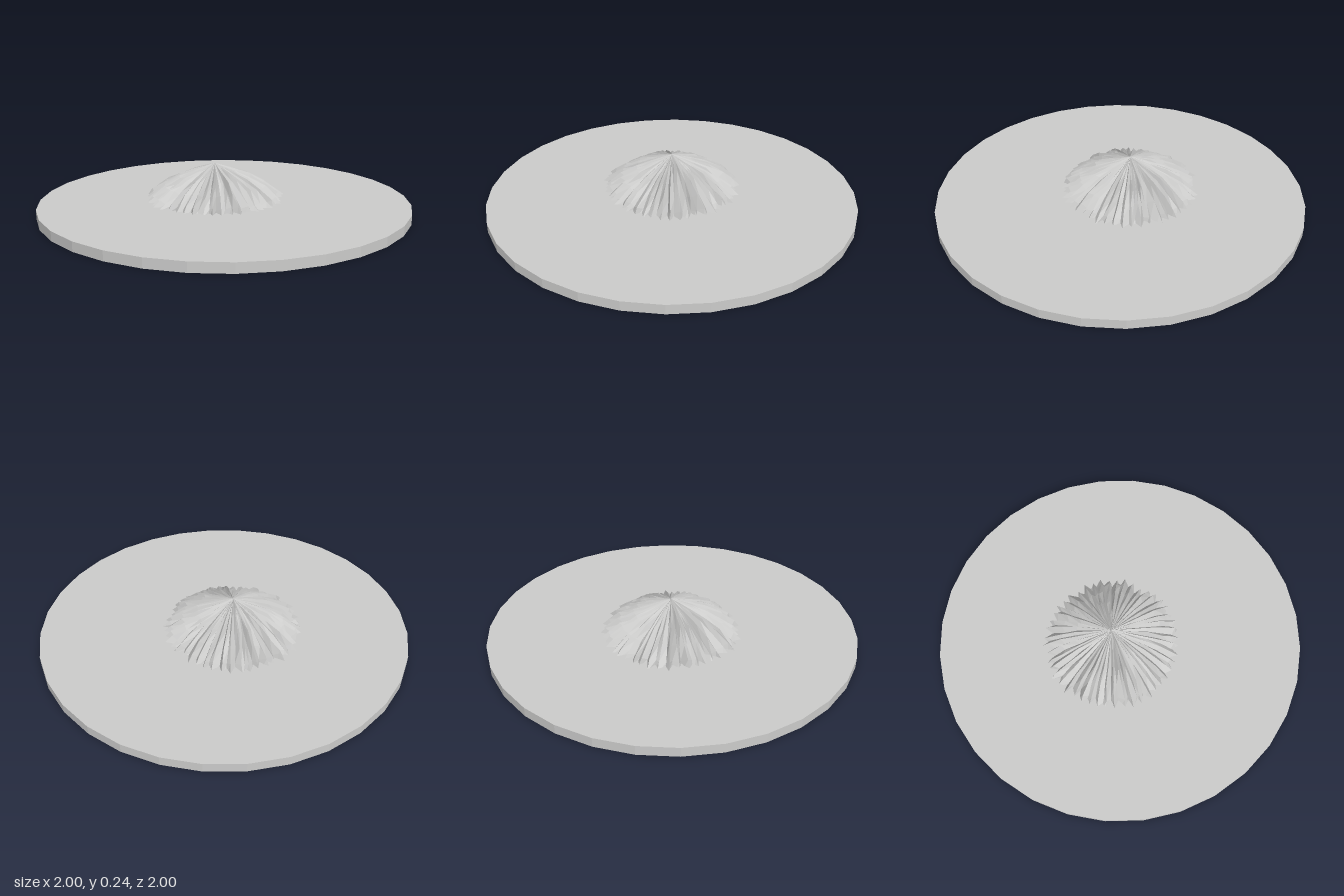
import * as THREE from 'three';

const SPOKES = 96;
// mound profile from the peak outwards: radius, height
const PROFILE = [[0, 0.24], [0.05, 0.221], [0.11, 0.197], [0.19, 0.163], [0.27, 0.118], [0.335, 0.07], [0.38, 0.025]];

function seeded(seed) {
  return () => {
    seed = (seed * 16807) % 2147483647;
    return seed / 2147483647;
  };
}

// rocky cone: rings of jittered points pleated into radial ridges
function moundGeometry() {
  const rand = seeded(4711);
  const jitter = (amount) => (rand() * 2 - 1) * amount;
  const spokes = [];
  for (let j = 0; j < SPOKES; j++) {
    const pleat = (j % 2 ? 1 : -1) * (0.3 + rand() * 0.7);
    const angle = ((j + jitter(0.3)) / SPOKES) * Math.PI * 2;
    spokes.push(PROFILE.map(([radius, height], i) => {
      const grow = Math.min(1, radius / 0.2);
      const r = radius * (1 + pleat * 0.05 + jitter(0.03));
      const a = angle + jitter(0.012) * grow;
      const y = i === 0 ? height : height + (pleat * 0.012 + jitter(0.006)) * grow;
      return [r * Math.cos(a), y, r * Math.sin(a)];
    }));
  }
  const positions = [];
  for (let j = 0; j < SPOKES; j++) {
    const near = spokes[j], next = spokes[(j + 1) % SPOKES];
    for (let i = 0; i < PROFILE.length - 1; i++) {
      positions.push(...near[i], ...next[i + 1], ...near[i + 1]);
      if (i > 0) positions.push(...near[i], ...next[i], ...next[i + 1]);
    }
  }
  const geometry = new THREE.BufferGeometry();
  geometry.setAttribute('position', new THREE.Float32BufferAttribute(positions, 3));
  geometry.computeVertexNormals();
  return geometry;
}

export function createModel() {
  const group = new THREE.Group();
  group.name = 'moundOnDisc';
  const stone = new THREE.MeshStandardMaterial({ color: 0xcccccb, flatShading: true });
  stone.name = 'pale grey stone';

  // round base plate
  const base = new THREE.Mesh(new THREE.CylinderGeometry(1, 1, 0.05, 32), stone);
  base.name = 'baseDisc';
  base.position.y = 0.025;
  group.add(base);

  // ridged mound, a little off centre
  const mound = new THREE.Mesh(moundGeometry(), stone);
  mound.name = 'ridgedMound';
  mound.position.set(-0.06, 0, -0.01);
  group.add(mound);

  return group;
}
